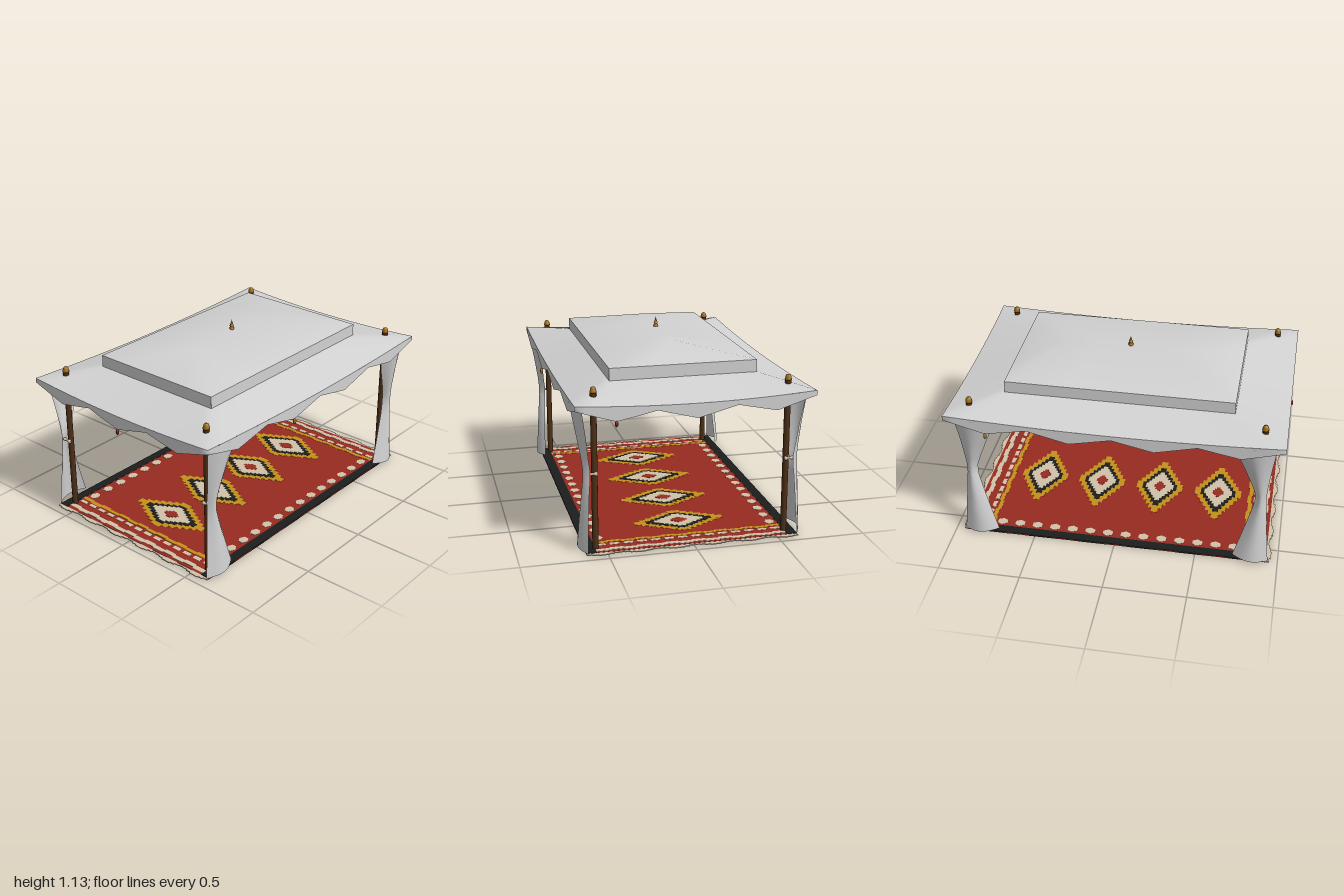
import * as THREE from 'three';
import { mergeGeometries, mergeVertices } from 'three/addons/utils/BufferGeometryUtils.js';

const material = (name, color, side = THREE.FrontSide) => {
  const m = new THREE.MeshStandardMaterial({ color, side });
  m.name = name;
  return m;
};

// Smooth sheet from a rule: fn(u, v) gives [x, y, z]
function sheet(fn, nu, nv) {
  const pos = [], idx = [];
  for (let j = 0; j <= nv; j++)
    for (let i = 0; i <= nu; i++) pos.push(...fn(i / nu, j / nv));
  for (let j = 0; j < nv; j++)
    for (let i = 0; i < nu; i++) {
      const a = j * (nu + 1) + i, b = a + 1, c = a + nu + 1, d = c + 1;
      idx.push(a, b, c, b, d, c);
    }
  let g = new THREE.BufferGeometry();
  g.setAttribute('position', new THREE.Float32BufferAttribute(pos, 3));
  g.setIndex(idx);
  g = mergeVertices(g, 1e-4);
  g.computeVertexNormals();
  return g;
}

// Point on a rectangle's outline, u running 0..1 from the front -x corner
const corners = [[-1, 1], [1, 1], [1, -1], [-1, -1]];
function outline(u, hx, hz) {
  const k = Math.min(3, Math.floor(u * 4 + 1e-9)), t = u * 4 - k;
  const a = corners[k], b = corners[(k + 1) % 4];
  return { x: hx * (a[0] + (b[0] - a[0]) * t), z: hz * (a[1] + (b[1] - a[1]) * t), t, k };
}
const edgeY = (t) => 0.859 + 0.027 * (2 * t - 1) ** 2;

export function createModel() {
  const root = new THREE.Group();
  root.name = 'canopyTent';
  const canvas = material('canvas', 0xd2d2d2, THREE.DoubleSide);
  const wood = material('wood', 0x4e2f15);
  const brass = material('brass', 0x9c6c12);
  const gold = material('rugGold', 0xc4901c);
  const red = material('rugRed', 0x982b21);
  const beadRed = material('beadRed', 0x7c1a1a);
  const black = material('rugBlack', 0x1c1e1e);
  const cream = material('cream', 0xd2c2aa);
  const taupe = material('taupe', 0x938070);
  const dusty = material('dustyBrown', 0x74503f);

  const add = (name, geo, mat, parent = root) => {
    const m = new THREE.Mesh(geo, mat);
    m.name = name;
    parent.add(m);
    return m;
  };
  const lathe = (pts, n = 16) =>
    new THREE.LatheGeometry(pts.map(([r, y]) => new THREE.Vector2(r, y)), n);

  // Canopy: sagging lower roof, scalloped valance, raised wall and hip roof
  const HX = 0.994, HZ = 0.682, WX = 0.683, WZ = 0.432;
  add('lowerRoof', sheet((u, v) => {
    const o = outline(u, HX, HZ), i = outline(u, WX, WZ), y = edgeY(o.t);
    return [o.x + (i.x - o.x) * v, y + (0.928 - y) * v, o.z + (i.z - o.z) * v];
  }, 64, 1), canvas);
  add('valance', sheet((u, v) => {
    const o = outline(u, HX, HZ), s = (o.t * (o.k % 2 ? 3 : 4)) % 1;
    const depth = 0.028 + 0.056 * (1 - Math.abs(2 * s - 1));
    return [o.x, edgeY(o.t) - depth * (1 - v), o.z];
  }, 96, 1), canvas);
  for (let k = 0; k < 4; k++)
    add('upperWall', sheet((u, v) => {
      const o = outline(Math.min((k + u) / 4, (k + 0.9999) / 4), WX, WZ);
      return [o.x, 0.928 + 0.072 * v, o.z];
    }, 1, 1), canvas);
  add('upperRoof', sheet((u, v) => {
    const o = outline(u, WX, WZ), r = outline(u, 0.38, 0);
    return [o.x + (r.x - o.x) * v, 1 + 0.071 * v, o.z + (r.z - o.z) * v];
  }, 16, 1), canvas);
  add('centreFinial', lathe([[0.015, 1.065], [0.015, 1.08], [0.007, 1.083], [0.013, 1.09],
    [0.012, 1.097], [0.006, 1.1], [0.008, 1.106], [0.004, 1.115], [0, 1.132]], 12), brass);

  // Posts, caps, tied curtains and ties at the four corners
  // Curtain rows: y, outer x, inner x, z at the middle, z at the edges
  const rows = [
    [0.01, 0.94, 0.725, 0.655, 0.612], [0.2, 0.923, 0.774, 0.643, 0.604],
    [0.36, 0.91, 0.818, 0.63, 0.595], [0.43, 0.904, 0.835, 0.624, 0.588],
    [0.49, 0.904, 0.835, 0.624, 0.588], [0.56, 0.909, 0.812, 0.632, 0.598],
    [0.68, 0.922, 0.765, 0.652, 0.611], [0.78, 0.935, 0.724, 0.67, 0.626],
    [0.866, 0.945, 0.695, 0.684, 0.638]];
  for (const [sx, sz] of corners) {
    const corner = new THREE.Group();
    corner.name = 'corner';
    root.add(corner);
    const px = sx * 0.865, pz = sz * 0.557;
    add('post', new THREE.CylinderGeometry(0.018, 0.018, 0.92, 12), wood, corner).position.set(px, 0.465, pz);
    add('postCap', lathe([[0, 0.92], [0.02, 0.92], [0.02, 0.93], [0.017, 0.932],
      [0.017, 0.94], [0.012, 0.95], [0, 0.954]]), brass, corner).position.set(px, 0, pz);
    add('curtain', sheet((u, v) => {
      const j = Math.round(v * (rows.length - 1));
      const [y, xo, xi, zm, ze] = rows[j];
      return [sx * (xo + (xi - xo) * u), y + (j ? 0 : 0.02 * u),
        sz * (ze + (zm - ze) * Math.sin(Math.PI * u))];
    }, 8, rows.length - 1), canvas, corner);
    const tie = add('curtainTie', lathe([[0, -0.027], [0.012, -0.027], [0.012, -0.018], [0.007, -0.008],
      [0.007, 0.008], [0.012, 0.018], [0.012, 0.027], [0, 0.027]], 10), cream, corner);
    tie.rotation.x = Math.PI / 2;
    tie.position.set(px + sx * 0.018, 0.46, sz * 0.57);
  }

  // Hanging beads under some valance tips
  for (const [x, y, z, mat] of [[-0.248, 0.762, 0.684, brass], [0.742, 0.776, -0.684, brass],
    [0.994, 0.774, 0.455, beadRed], [-0.994, 0.76, 0, beadRed]]) {
    const bead = add('bead', new THREE.SphereGeometry(0.01, 10, 8), mat);
    bead.scale.y = 1.8;
    bead.position.set(x, y, z);
  }

  // Rug: red slab with thin woven plates above and below
  const rug = new THREE.Group();
  rug.name = 'rug';
  root.add(rug);
  const box = (x, z, w, d, y, h = 0.0012) => new THREE.BoxGeometry(w, h, d).translate(x, y + h / 2, z);
  const diamond = (x, rx, rz, y, n = 6) => Array.from({ length: n }, (_, i) =>
    box(x, 0, 2 * rx * (1 - i / n), 2 * rz * (i + 1) / n, y));
  const spindle = (x, rx, rz) => new THREE.CylinderGeometry(1, 1, 0.0008, 4)
    .scale(rx, 1, rz).translate(x, 0.0014, 0);
  add('rugField', box(0, 0, 1.86, 1.24, 0.0015, 0.0085), red, rug);

  const parts = { gold: [], brass: [], black: [], cream: [], red: [], taupe: [], dusty: [] };
  const T = 0.01, B = 0.001;
  for (const x of [-0.5775, -0.1925, 0.1925, 0.5775]) {
    parts.gold.push(...diamond(x, 0.15, 0.27, T, 7));
    parts.black.push(...diamond(x, 0.112, 0.2, T + 0.001));
    parts.cream.push(...diamond(x, 0.09, 0.15, T + 0.002));
    parts.red.push(...diamond(x, 0.035, 0.05, T + 0.003, 3));
  }
  // Underside: four panels of narrow lozenges parted by bands
  for (const x of [-0.6975, -0.2325, 0.2325, 0.6975])
    [-0.15, -0.075, 0, 0.075, 0.15].forEach((dx, i) =>
      (i > 0 && i < 4 ? parts.taupe : parts.brass)
        .push(spindle(x + dx, 0.028, 0.27 - Math.abs(dx) * 0.7)));
  for (const x of [-0.465, 0, 0.465]) parts.dusty.push(box(x, 0, 0.09, 1.12, B));
  for (const s of [-1, 1]) {
    // Long borders: solid above, dashed below and along the rim
    parts.black.push(box(0, s * 0.59, 1.86, 0.06, T));
    parts.taupe.push(box(0, s * 0.59, 1.86, 0.06, B));
    for (let i = 0; i < 6; i++) {
      const x = (i - 2.5) * 0.31;
      parts.black.push(box(x, s * 0.595, 0.21, 0.05, 0.0002));
      parts.black.push(box(x, s * 0.62, 0.15, 0.003, 0.003, 0.006));
    }
    // Row of cream lozenges
    for (let i = 0; i < 14; i++)
      parts.cream.push(new THREE.CylinderGeometry(1, 1, 0.0012, 6)
        .scale(0.035, 1, 0.03).translate((i - 6.5) * 0.112, T + 0.0006, s * 0.52));
    // Striped end bands
    for (let i = 0; i < 14; i++) {
      const z = (i - 6.5) * 0.08;
      parts.gold.push(box(s * (0.785 + (i % 2) * 0.008), z, 0.025, 0.08, T));
      parts.cream.push(box(s * 0.825, z, 0.025, 0.055, T));
      parts.cream.push(box(s * (0.89 + (i % 2) * 0.008), z, 0.03, 0.08, T));
    }
    // Fringe
    for (let i = 0; i < 40; i++) {
      const len = 0.022 + 0.01 * Math.sin(i * 0.9);
      parts.cream.push(box(s * (0.928 + len / 2), (i - 19.5) * 0.031, len, 0.031, 0.003, 0.006));
    }
  }
  const mats = { gold, brass, black, cream, red, taupe, dusty };
  for (const key in parts) add(key + 'Weave', mergeGeometries(parts[key]), mats[key], rug);
  return root;
}
